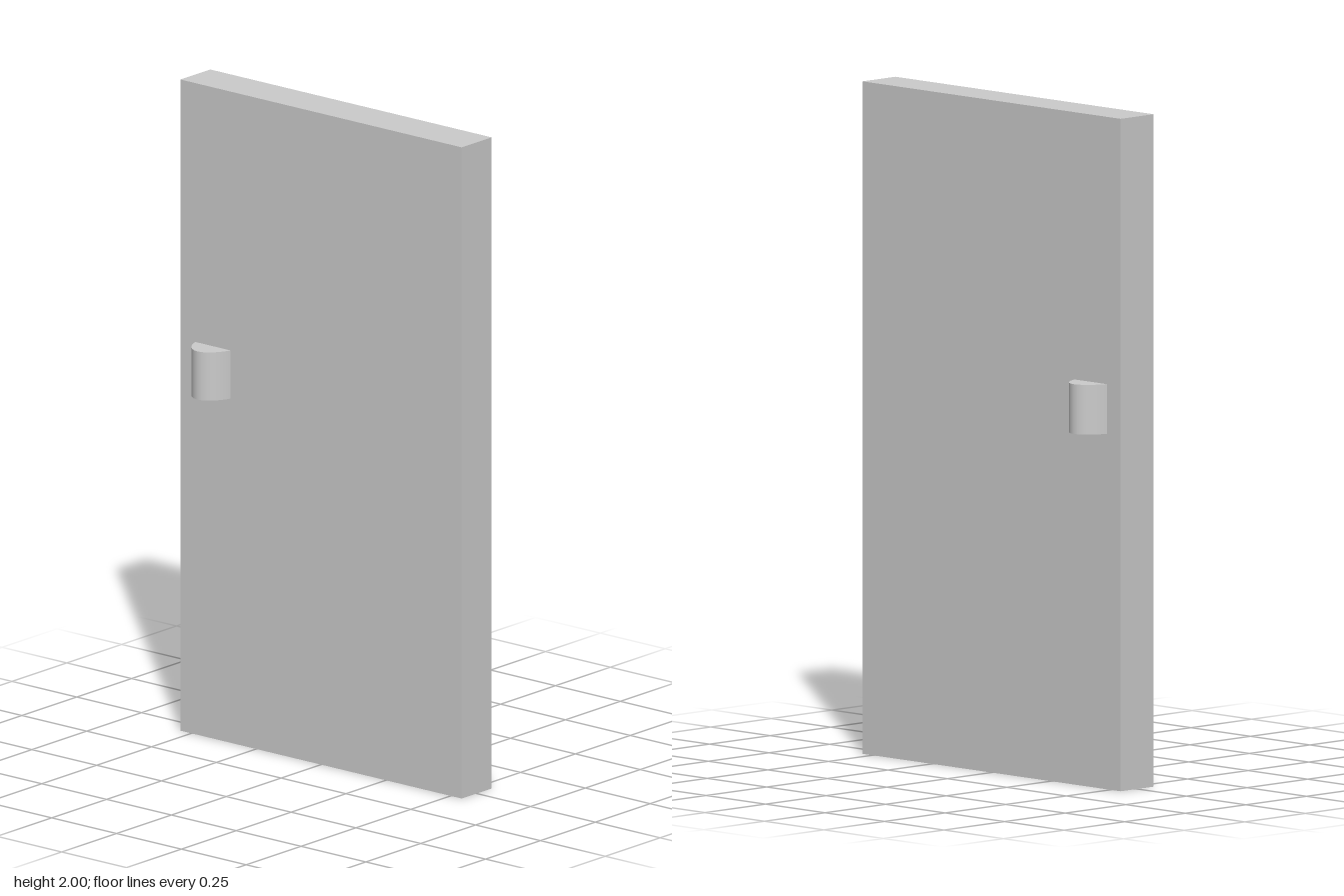
import * as THREE from 'three';

export function createModel() {
  const model = new THREE.Group();
  const material = new THREE.MeshStandardMaterial({ color: 0xcccccc });

  // Flat door slab standing on the ground
  const panel = new THREE.Mesh(new THREE.BoxGeometry(0.136, 2, 1.085), material);
  panel.name = 'doorPanel';
  panel.position.y = 1;
  model.add(panel);

  // Oval handle passing through the slab, showing on both faces
  const handle = new THREE.Mesh(new THREE.CylinderGeometry(1, 1, 0.148, 32), material);
  handle.name = 'doorHandle';
  handle.scale.set(0.139, 1, 0.078);
  handle.position.set(0, 1.131, -0.417);
  model.add(handle);

  return model;
}
